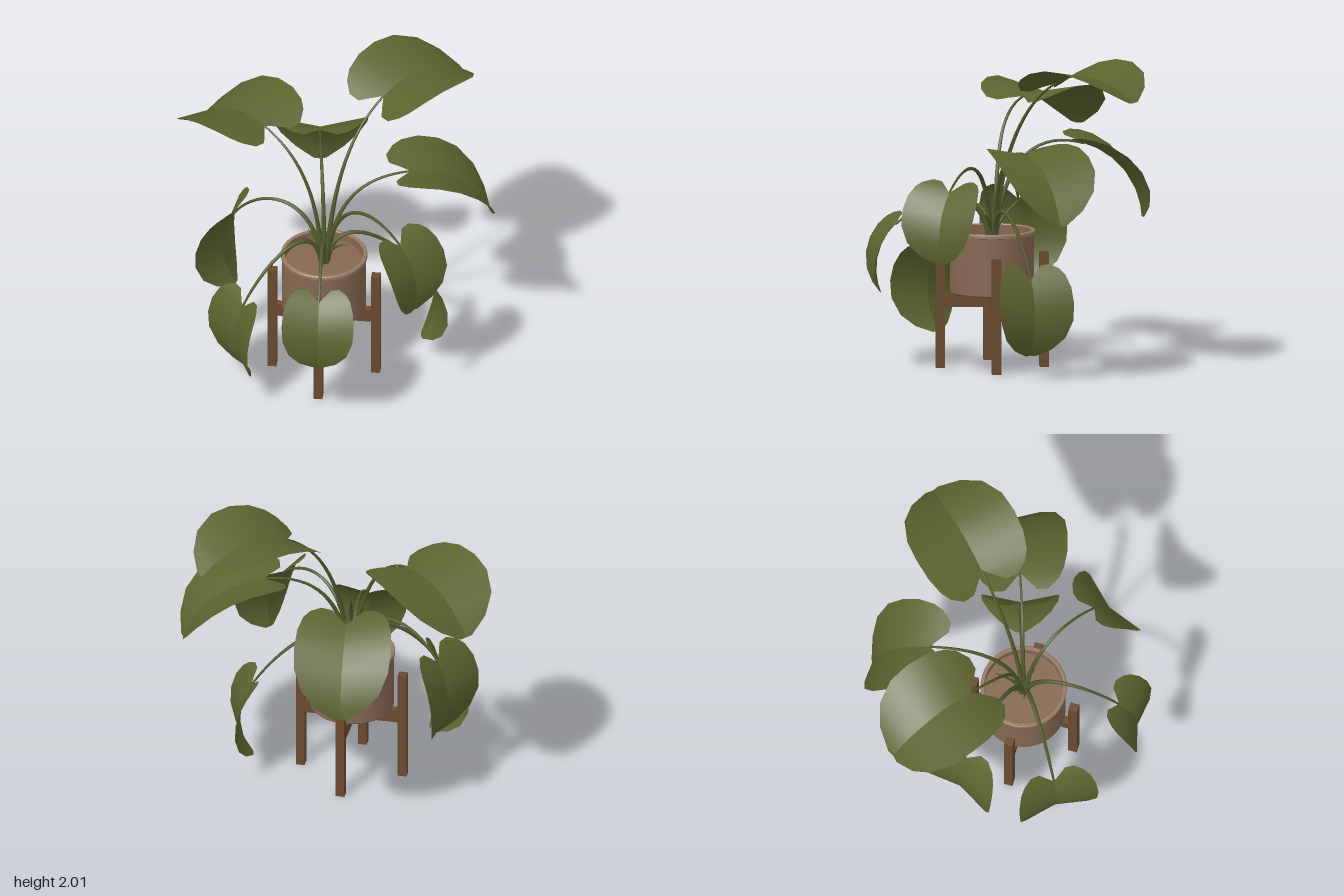
import * as THREE from 'three';
import { toCreasedNormals } from 'three/addons/utils/BufferGeometryUtils.js';

const CX = -0.205, CZ = 0.125; // centre of the pot
const rad = THREE.MathUtils.degToRad;

const mat = (name, color, side = THREE.FrontSide) =>
  Object.assign(new THREE.MeshStandardMaterial({ color, side }), { name });

// Half outline of a leaf: [along the midrib, inner edge, outer edge]
const OUTLINE = [
  [-0.17, 0.33, 0.55], [-0.09, 0.17, 0.76], [0, 0, 0.88], [0.15, 0, 0.97], [0.33, 0, 1],
  [0.52, 0, 0.97], [0.72, 0, 0.8], [0.88, 0, 0.5], [1, 0, 0.13],
];
const BEND = rad(70), FOLD = 0.2;

// Heart-shaped blade, bent along its midrib and folded into a shallow V
function leafGeometry(attach, dir, chordPitch, length, halfWidth) {
  const p0 = chordPitch + BEND / 2;
  const lateral = new THREE.Vector3(-dir.z, 0, dir.x);
  const pos = [], idx = [];
  for (const side of [1, -1]) {
    const start = pos.length / 3;
    OUTLINE.forEach(([s, inner, outer], i) => {
      const a = p0 - BEND * s;
      const along = length * (Math.sin(p0) - Math.sin(a)) / BEND;
      const rise = length * (Math.cos(a) - Math.cos(p0)) / BEND;
      for (const w of [inner * halfWidth, outer * halfWidth]) {
        const p = attach.clone()
          .addScaledVector(dir, along - Math.sin(a) * FOLD * w)
          .addScaledVector(lateral, side * w);
        p.y += rise + Math.cos(a) * FOLD * w;
        pos.push(p.x, p.y, p.z);
      }
      if (i > 0) {
        const q = start + 2 * (i - 1);
        if (side > 0) idx.push(q, q + 1, q + 2, q + 1, q + 3, q + 2);
        else idx.push(q, q + 2, q + 1, q + 1, q + 2, q + 3);
      }
    });
  }
  const g = new THREE.BufferGeometry();
  g.setAttribute('position', new THREE.Float32BufferAttribute(pos, 3));
  g.setIndex(idx);
  g.computeVertexNormals();
  return g;
}

// Tube that narrows from r0 to r1
function taperedTube(curve, r0, r1, segments = 20, sides = 6) {
  const g = new THREE.TubeGeometry(curve, segments, 1, sides, false);
  const p = g.attributes.position, v = new THREE.Vector3();
  for (let i = 0; i < p.count; i++) {
    const t = Math.floor(i / (sides + 1)) / segments;
    const c = curve.getPointAt(t);
    v.fromBufferAttribute(p, i).sub(c).multiplyScalar(r0 + (r1 - r0) * t).add(c);
    p.setXYZ(i, v.x, v.y, v.z);
  }
  return g;
}

// attach point, heading (x, z), chord pitch, length, half width, stem rise, stem reach
const LEAVES = [
  [[0.30, 1.87, 0.10], [1, 0], -6, 0.69, 0.355, 1.30, 0.35],
  [[-0.33, 1.68, -0.33], [-0.1, -1], -22, 0.69, 0.36, 1.35, 0.30],
  [[0.15, 1.42, -0.36], [0.62, -0.78], -52, 0.65, 0.31, 1.30, 0.35],
  [[0.30, 1.44, 0.38], [0.9, 0.43], -37, 0.69, 0.32, 1.30, 0.30],
  [[-0.06, 1.20, 0.72], [0.2, 0.98], -76, 0.49, 0.26, 1.35, 0.35],
  [[-0.62, 0.93, 0.59], [-0.67, 0.74], -78, 0.47, 0.23, 1.20, 0.30],
  [[-0.79, 0.66, 0.02], [-0.98, -0.18], -96, 0.525, 0.265, 1.20, 0.40],
  [[0.37, 0.65, 0.42], [0.87, 0.49], -92, 0.525, 0.25, 1.20, 0.40],
  [[-0.48, 0.99, -0.46], [-0.43, -0.9], -92, 0.565, 0.29, 1.30, 0.35],
];

export function createModel() {
  const model = new THREE.Group();
  model.name = 'pottedPlant';
  const leafGreen = mat('leaf green', 0x5c632f, THREE.DoubleSide);
  const stemGreen = mat('stem green', 0x515a2c, THREE.DoubleSide);
  const clay = mat('clay', 0x856852);
  const rimClay = mat('rim clay', 0x967a62);
  const wood = mat('wood', 0x6b4a2f);

  const add = (name, geometry, material, parent = model) => {
    const m = new THREE.Mesh(geometry, material);
    m.name = name;
    parent.add(m);
    return m;
  };

  // Pot: body, rim, inner wall and fill
  const pot = new THREE.Group();
  pot.name = 'pot';
  pot.position.set(CX, 0, CZ);
  model.add(pot);
  const lathe = (name, pts, material) => add(name, toCreasedNormals(
    new THREE.LatheGeometry(pts.map(([x, y]) => new THREE.Vector2(x, y)), 40), rad(35)), material, pot);
  lathe('potBody', [[0, 0.48], [0.258, 0.48], [0.268, 0.49], [0.268, 0.86]], clay);
  lathe('potRim', [[0.266, 0.858], [0.276, 0.862], [0.276, 0.88], [0.27, 0.886], [0.254, 0.886], [0.25, 0.88]], rimClay);
  lathe('potInside', [[0.25, 0.88], [0.25, 0.82], [0, 0.82]], clay);

  // Stand: four legs and two crossed bars, turned 45 degrees
  const stand = new THREE.Group();
  stand.name = 'stand';
  stand.position.set(CX, 0, CZ);
  stand.rotation.y = Math.PI / 4;
  model.add(stand);
  for (let i = 0; i < 4; i++) {
    const a = i * Math.PI / 2;
    add('leg', new THREE.BoxGeometry(0.057, 0.74, 0.057), wood, stand)
      .position.set(0.332 * Math.cos(a), 0.37, 0.332 * Math.sin(a));
  }
  add('crossBar', new THREE.BoxGeometry(0.61, 0.088, 0.05), wood, stand).position.y = 0.435;
  add('crossBar', new THREE.BoxGeometry(0.05, 0.086, 0.61), wood, stand).position.y = 0.435;

  // Leaves on arching stems
  for (const [at, [hx, hz], pitch, length, halfWidth, rise, reach] of LEAVES) {
    const attach = new THREE.Vector3(...at);
    const dir = new THREE.Vector3(hx, 0, hz).normalize();
    const p0 = rad(pitch) + BEND / 2;
    add('leaf', leafGeometry(attach, dir, rad(pitch), length, halfWidth), leafGreen);

    const base = new THREE.Vector3(CX, 0.82, CZ).addScaledVector(dir, 0.02);
    const up = base.clone().setY(rise).addScaledVector(dir, 0.04);
    const before = attach.clone().addScaledVector(dir, -Math.cos(p0) * reach);
    before.y -= Math.sin(p0) * reach;
    add('stem', taperedTube(new THREE.CubicBezierCurve3(base, up, before, attach), 0.018, 0.007), stemGreen);
  }

  // Short young shoots
  for (const [x, y, z] of [[-0.33, 1.03, 0.06], [-0.1, 1.07, -0.02], [-0.14, 1.0, 0.28], [-0.26, 1.04, 0.03]]) {
    const curve = new THREE.QuadraticBezierCurve3(
      new THREE.Vector3(CX, 0.82, CZ),
      new THREE.Vector3(CX + (x - CX) * 0.3, 0.98, CZ + (z - CZ) * 0.3),
      new THREE.Vector3(x, y, z));
    add('shoot', taperedTube(curve, 0.016, 0.003, 8), stemGreen);
  }
  return model;
}
